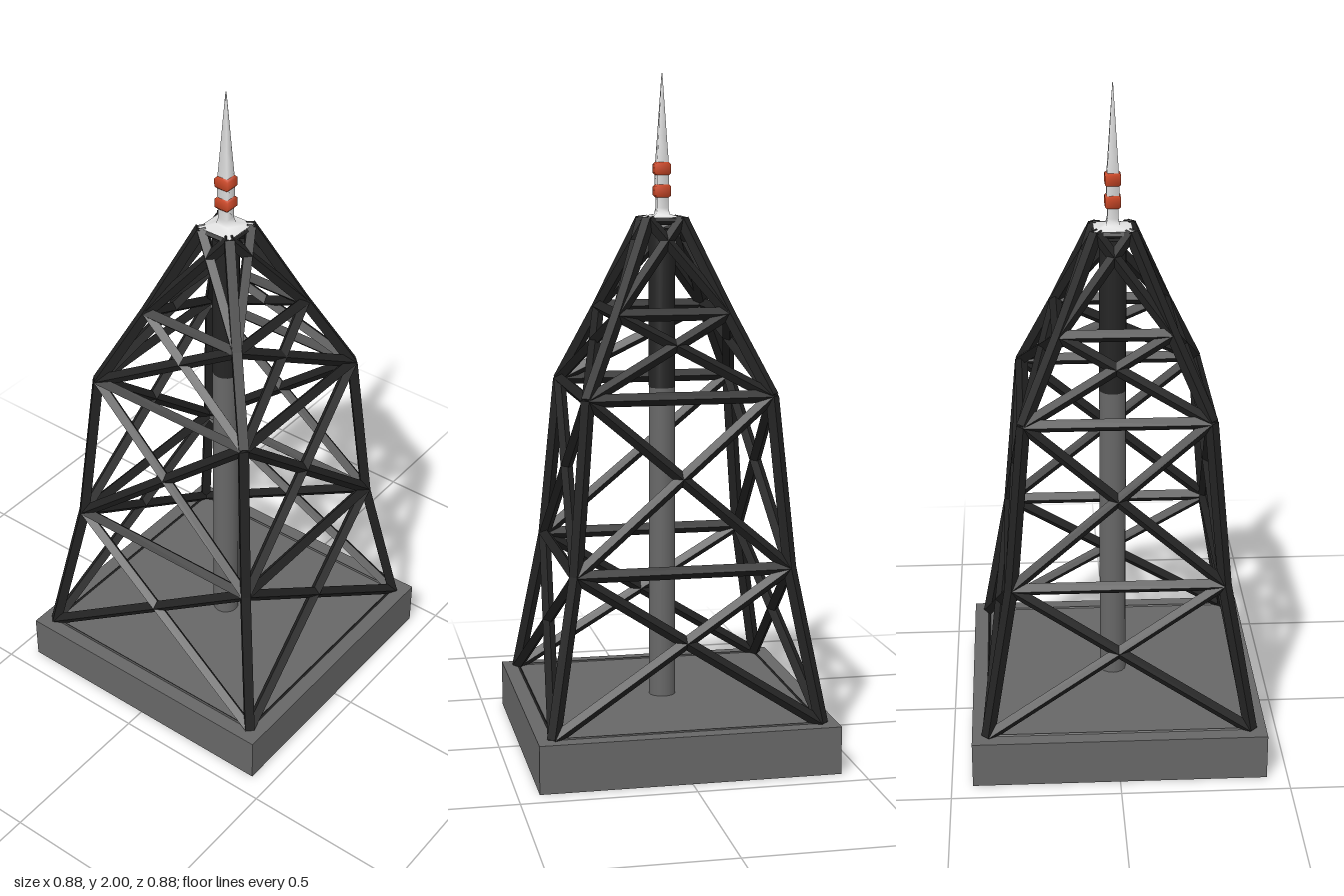
import * as THREE from 'three';

const steel = new THREE.MeshStandardMaterial({ name: 'dark steel', color: 0x222222, flatShading: true });
const concrete = new THREE.MeshStandardMaterial({ name: 'grey concrete', color: 0x676767, side: THREE.DoubleSide });
const pipe = new THREE.MeshStandardMaterial({ name: 'black pipe', color: 0x242424 });
const white = new THREE.MeshStandardMaterial({ name: 'white paint', color: 0xe2e2e2, side: THREE.DoubleSide });
const red = new THREE.MeshStandardMaterial({ name: 'red paint', color: 0xd04a28, side: THREE.DoubleSide });

// Half-width and height of the frame at each level
const levels = [[0.39, 0.14], [0.312, 0.585], [0.268, 1.08], [0.163, 1.31], [0.05, 1.578]];
const UP = new THREE.Vector3(0, 1, 0);

function add(parent, name, geometry, material) {
  const mesh = new THREE.Mesh(geometry, material);
  mesh.name = name;
  parent.add(mesh);
  return mesh;
}

// Four-sided bar between two points
function beam(parent, name, a, b, radius) {
  const p = new THREE.Vector3(...a), q = new THREE.Vector3(...b);
  const dir = q.clone().sub(p);
  const mesh = add(parent, name, new THREE.CylinderGeometry(radius, radius, dir.length(), 4), steel);
  mesh.position.copy(p).add(q).multiplyScalar(0.5);
  mesh.quaternion.setFromUnitVectors(UP, dir.normalize());
  return mesh;
}

// Square turned section; profile gives [half-width, height] from bottom to top
function squareLathe(parent, name, profile, material) {
  const points = profile.map(([w, y]) => new THREE.Vector2(w * Math.SQRT2, y));
  return add(parent, name, new THREE.LatheGeometry(points, 4, Math.PI / 4), material);
}

export function createModel() {
  const model = new THREE.Group();
  model.name = 'latticeTower';

  // Plinth, hollow and open underneath
  const baseGeometry = new THREE.BoxGeometry(0.875, 0.14, 0.875);
  const index = Array.from(baseGeometry.index.array);
  index.splice(18, 6);
  baseGeometry.setIndex(index);
  baseGeometry.clearGroups();
  add(model, 'plinth', baseGeometry, concrete).position.y = 0.07;

  // Central riser, grey below and black above
  add(model, 'lowerRiser', new THREE.CylinderGeometry(0.04, 0.04, 0.94, 16, 1, true), concrete).position.y = 0.61;
  add(model, 'upperRiser', new THREE.CylinderGeometry(0.04, 0.04, 0.47, 16), pipe).position.y = 1.315;

  // Four identical lattice faces, each carrying one corner leg
  for (let side = 0; side < 4; side++) {
    const face = new THREE.Group();
    face.name = 'latticeFace' + (side + 1);
    face.rotation.y = side * Math.PI / 2;
    model.add(face);
    levels.forEach(([w, y], i) => {
      const edge = i === 0 || i === levels.length - 1;
      beam(face, 'crossbar', [-w, edge ? y - 0.006 : y, w], [w, edge ? y - 0.006 : y, w], edge ? 0.01 : 0.019);
      if (i === levels.length - 1) return;
      const [w2, y2] = levels[i + 1];
      beam(face, 'leg', [w, y, w], [w2, y2, w2], 0.02);
      beam(face, 'brace', [-w, y, w], [w2, y2, w2], 0.018);
      beam(face, 'brace', [w, y, w], [-w2, y2, w2], 0.018);
    });
  }

  // Cap plate and spire
  squareLathe(model, 'cap', [[0, 1.55], [0.055, 1.58]], white);
  squareLathe(model, 'capTop', [[0.056, 1.583], [0.02, 1.592], [0.016, 1.61], [0.016, 1.645]], white);
  for (const y of [1.64, 1.705]) {
    squareLathe(model, 'redBand', [[0.017, y], [0.023, y + 0.007], [0.023, y + 0.032], [0.017, y + 0.039]], red);
  }
  squareLathe(model, 'spireNeck', [[0.018, 1.675], [0.018, 1.71]], white);
  squareLathe(model, 'spire', [[0.017, 1.742], [0.012, 1.82], [0.006, 1.92], [0.001, 2.0]], white);
  return model;
}
